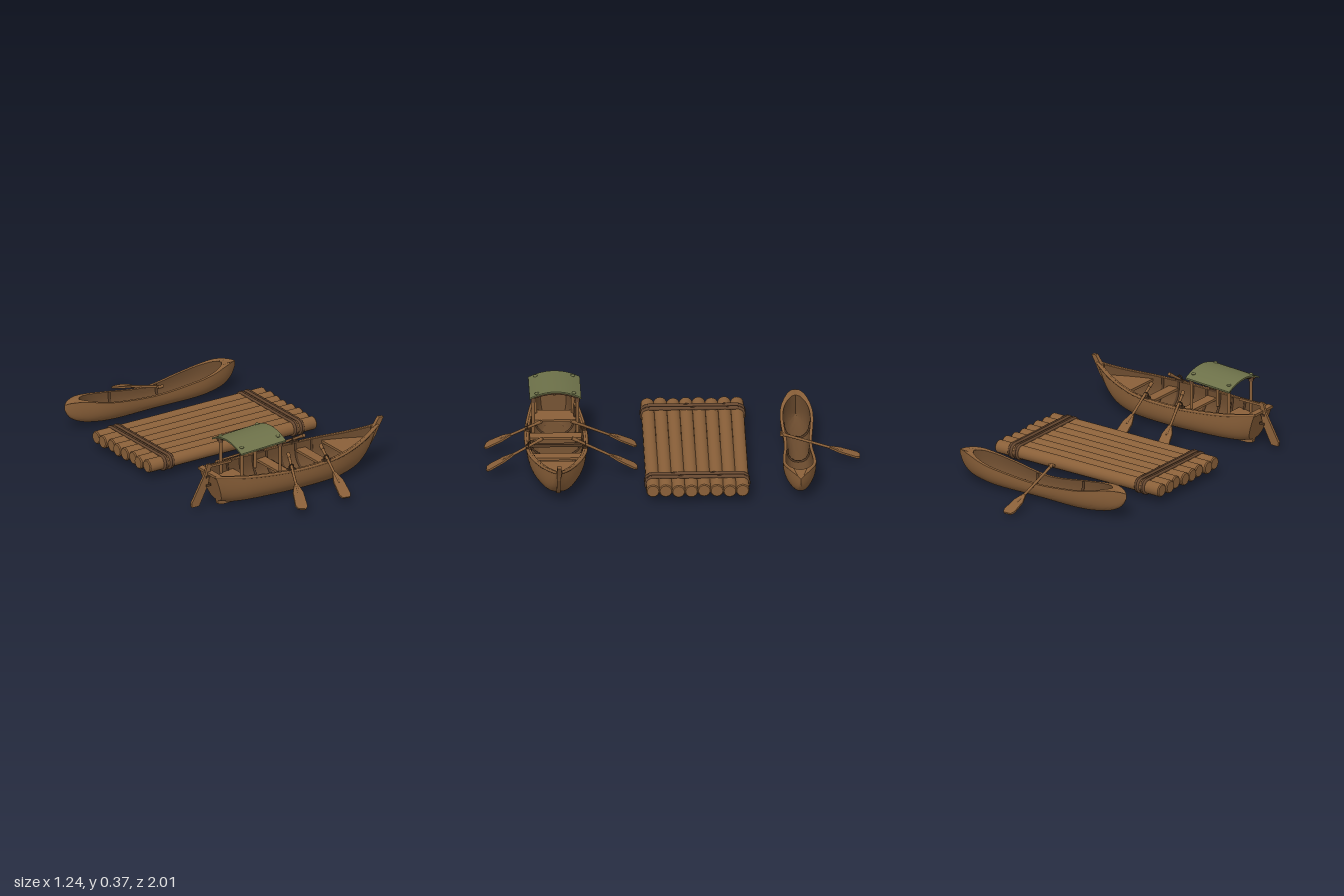
import * as THREE from 'three';
import { toCreasedNormals } from 'three/addons/utils/BufferGeometryUtils.js';

const mat = (name, color, side = THREE.FrontSide) => {
  const m = new THREE.MeshStandardMaterial({ color, side });
  m.name = name;
  return m;
};
const wood = mat('wood', 0x8a6039, THREE.DoubleSide);
const innerWood = mat('shadedWood', 0x6b4b2e, THREE.DoubleSide);
const darkWood = mat('darkWood', 0x563c26);
const rope = mat('rope', 0x674830);
const cloth = mat('canvas', 0x6d7149, THREE.DoubleSide);

const lerp = THREE.MathUtils.lerp;
const V = (x, y, z) => new THREE.Vector3(x, y, z);

function add(parent, name, geometry, material, x = 0, y = 0, z = 0) {
  const m = new THREE.Mesh(geometry, material);
  m.name = name;
  m.position.set(x, y, z);
  parent.add(m);
  return m;
}

// Smooth interpolation through a short table
function table(xs, ys) {
  const slope = (i) => {
    const a = Math.max(0, i - 1), b = Math.min(xs.length - 1, i + 1);
    return (ys[b] - ys[a]) / (xs[b] - xs[a]);
  };
  return (x) => {
    let i = 0;
    while (i < xs.length - 2 && x > xs[i + 1]) i++;
    const h = xs[i + 1] - xs[i];
    const t = THREE.MathUtils.clamp((x - xs[i]) / h, 0, 1), t2 = t * t, t3 = t2 * t;
    return (2 * t3 - 3 * t2 + 1) * ys[i] + (t3 - 2 * t2 + t) * h * slope(i)
      + (3 * t2 - 2 * t3) * ys[i + 1] + (t3 - t2) * h * slope(i + 1);
  };
}

// Surface from a rule over u, v in 0..1
function grid(fn, nu, nv) {
  const pos = [], idx = [];
  for (let i = 0; i <= nu; i++) for (let j = 0; j <= nv; j++) pos.push(...fn(i / nu, j / nv).toArray());
  for (let i = 0; i < nu; i++) for (let j = 0; j < nv; j++) {
    const a = i * (nv + 1) + j, b = a + nv + 1;
    idx.push(a, b, a + 1, b, b + 1, a + 1);
  }
  const g = new THREE.BufferGeometry();
  g.setAttribute('position', new THREE.Float32BufferAttribute(pos, 3));
  g.setIndex(idx);
  return toCreasedNormals(g, 0.7);
}

// Hollow hull: outer skin, inner skin and rim
function hull(parent, h) {
  const W = table(h.x, h.W), S = table(h.x, h.S), K = table(h.x, h.K);
  const x0 = h.x[0], x1 = h.x[h.x.length - 1];
  const point = (s, a, inner) => {
    const x = inner ? lerp(h.in[0], h.in[1], s) : lerp(x0, x1, s);
    const taper = h.roundEnds ? Math.sqrt(1 - Math.abs(2 * s - 1) ** 10) : 1;
    const w = Math.max(0, inner ? (W(x) - h.wall) * taper : W(x));
    const depth = Math.abs(Math.sin(a)) ** h.e, c = Math.cos(a);
    const low = inner ? Math.min(K(x) + h.wall, S(x)) : K(x);
    return V(x + h.rake * (1 - s) ** 6 * depth, lerp(S(x), low, depth), w * Math.sign(c) * Math.abs(c) ** h.e);
  };
  add(parent, 'hullOuter', grid((s, v) => point(s, v * Math.PI, false), 64, 28), wood);
  add(parent, 'hullInner', grid((s, v) => point(s, v * Math.PI, true), 64, 28), innerWood);
  for (const a of [0, Math.PI])
    add(parent, 'rim', grid((s, v) => point(s, a, false).lerp(point(s, a, true), v), 64, 1), wood);
  const cap = (inner) => grid((u, v) => {
    const p = point(0, u * Math.PI / 2, inner);
    return p.setZ(p.z * (2 * v - 1));
  }, 14, 2);
  if (h.rake) {
    add(parent, 'transom', cap(false), wood);
    add(parent, 'transomInner', cap(true), innerWood);
  }
  // Half width of the hull at a given place and height
  const halfAt = (x, y) => {
    const d = THREE.MathUtils.clamp((S(x) - y) / (S(x) - K(x)), 0, 1);
    return W(x) * Math.sqrt(1 - d ** (2 / h.e)) ** h.e;
  };
  const rib = (s, r) => {
    const pts = [];
    for (let i = 0; i <= 16; i++) pts.push(point(s, i / 16 * Math.PI, true));
    add(parent, 'rib', new THREE.TubeGeometry(new THREE.CatmullRomCurve3(pts), 32, r, 6), darkWood);
  };
  return { point, halfAt, rib, S };
}

function extrude(points, depth) {
  const g = new THREE.ExtrudeGeometry(new THREE.Shape(points.map((p) => new THREE.Vector2(...p))),
    { depth, bevelEnabled: false });
  return g.translate(0, 0, -depth / 2);
}

// Oar running from the grip to the blade tip
function oar(parent, name, from, to, grip = 0) {
  const g = new THREE.Group();
  g.name = name;
  const L = from.distanceTo(to);
  add(g, 'shaft', new THREE.CylinderGeometry(0.007, 0.008, L - 0.1, 10), wood, 0, (L - 0.1) / 2, 0);
  add(g, 'blade', extrude([[-0.009, L - 0.17], [0.009, L - 0.17], [0.03, L - 0.11], [0.034, L - 0.02], [0.022, L],
    [-0.022, L], [-0.034, L - 0.02], [-0.03, L - 0.11]], 0.01), wood);
  add(g, 'grip', new THREE.CylinderGeometry(0.01, 0.01, 0.03, 10), wood, 0, 0.01, 0);
  if (grip) add(g, 'crossGrip', new THREE.CylinderGeometry(0.009, 0.009, grip, 8).rotateZ(Math.PI / 2), wood);
  const y = to.clone().sub(from).normalize();
  const z = V(1, 0, 0).cross(y).normalize();
  g.quaternion.setFromRotationMatrix(new THREE.Matrix4().makeBasis(y.clone().cross(z), y, z));
  g.position.copy(from);
  parent.add(g);
}

function rowboat() {
  const b = new THREE.Group();
  b.name = 'rowboat';
  const h = hull(b, {
    x: [-0.515, -0.42, -0.3, -0.1, 0.05, 0.2, 0.3, 0.42, 0.5, 0.55, 0.58],
    W: [0.08, 0.106, 0.132, 0.158, 0.164, 0.153, 0.13, 0.085, 0.048, 0.022, 0.008],
    S: [0.205, 0.19, 0.177, 0.166, 0.165, 0.168, 0.175, 0.188, 0.203, 0.216, 0.226],
    K: [0.03, 0.014, 0.009, 0.008, 0.008, 0.008, 0.011, 0.035, 0.09, 0.16, 0.21],
    e: 0.68, rake: 0.06, wall: 0.018, in: [-0.49, 0.545],
  });
  // Gunwale rails
  for (const a of [0, Math.PI]) {
    const pts = [];
    for (let i = 0; i <= 24; i++) pts.push(h.point(i / 24, a, false).add(V(0, -0.005, 0)));
    add(b, 'gunwale', new THREE.TubeGeometry(new THREE.CatmullRomCurve3(pts), 60, 0.008, 8), wood);
  }
  // Cross boards shaped to the hull
  const board = (name, x0, x1, y, t, m = wood, inset = 0.012) => {
    const g = new THREE.BoxGeometry(x1 - x0, t, 2, 10, 1, 1).translate((x0 + x1) / 2, y, 0);
    const p = g.attributes.position;
    for (let i = 0; i < p.count; i++) p.setZ(i, p.getZ(i) * Math.max(0.002, h.halfAt(p.getX(i), y) - inset));
    add(b, name, toCreasedNormals(g, 0.5), m);
  };
  board('transomRail', -0.52, -0.485, 0.2, 0.014, wood, 0);
  board('sternSeat', -0.39, -0.27, 0.12, 0.014);
  board('middleSeat', -0.1, -0.04, 0.125, 0.014);
  board('footBrace', -0.025, -0.005, 0.1, 0.016, darkWood);
  board('forwardSeat', 0.15, 0.21, 0.125, 0.014);
  board('bowDeck', 0.3, 0.53, 0.15, 0.014);
  board('floor', -0.43, 0.32, 0.036, 0.008, innerWood, 0.02);
  for (let i = 1; i < 8; i++) h.rib(0.08 + i * 0.09, 0.007);
  // Keel and stem post
  add(b, 'keelAndStem', extrude([[-0.455, 0.03], [-0.45, 0.006], [-0.42, 0], [0.27, 0], [0.36, 0.008], [0.44, 0.035],
    [0.51, 0.09], [0.565, 0.165], [0.588, 0.21], [0.618, 0.262], [0.59, 0.265], [0.555, 0.215], [0.53, 0.16],
    [0.48, 0.09], [0.4, 0.04], [0.3, 0.016], [-0.4, 0.014]], 0.022), wood);
  // Rudder and tiller
  add(b, 'rudder', extrude([[-0.495, 0.248], [-0.518, 0.25], [-0.535, 0.195], [-0.62, 0.045], [-0.617, 0.022],
    [-0.572, 0.022], [-0.515, 0.13], [-0.5, 0.2]], 0.014), wood);
  add(b, 'tiller', new THREE.BoxGeometry(0.15, 0.013, 0.013), wood, -0.435, 0.234, 0);
  for (const y of [0.13, 0.18])
    add(b, 'rudderHinge', new THREE.BoxGeometry(0.03, 0.012, 0.024), darkWood, -0.513, y, 0);
  // Canopy on four posts with arched beams
  const arch = (x, v, lift) => V(x, 0.361 + (x + 0.39) * 0.045 - 0.036 * (2 * v - 1) ** 2 + lift, (2 * v - 1) * 0.138);
  const sheet = (lift) => grid((u, v) => arch(lerp(-0.39, -0.1, u), v, lift), 2, 24);
  add(b, 'canopyTop', sheet(0), cloth);
  add(b, 'canopyLining', sheet(-0.009), cloth);
  for (const x of [-0.39, -0.1])
    add(b, 'canopyEnd', grid((u, v) => arch(x, v, -0.009 * u), 1, 24), cloth);
  for (const v of [0, 1])
    add(b, 'canopyHem', grid((u, t) => arch(lerp(-0.39, -0.1, u), v, -0.009 * t), 1, 1), cloth);
  for (const [x, z] of [[-0.36, 0.1], [-0.125, 0.118]]) {
    const pts = [];
    for (let i = 0; i <= 12; i++) pts.push(arch(x, 0.04 + i / 12 * 0.92, -0.017));
    add(b, 'canopyBeam', new THREE.TubeGeometry(new THREE.CatmullRomCurve3(pts), 30, 0.009, 8), darkWood);
    for (const s of [-1, 1]) {
      add(b, 'canopyPost', new THREE.CylinderGeometry(0.009, 0.009, 0.24, 10), wood, x, 0.218, s * z);
      add(b, 'postLashing', new THREE.CylinderGeometry(0.013, 0.013, 0.025, 10), rope, x, 0.318, s * z);
      const knob = arch(x, 0.5 + s * 0.36, 0.001);
      add(b, 'canopyKnob', new THREE.SphereGeometry(0.012, 12, 8).scale(1, 0.6, 1), cloth, knob.x, knob.y, knob.z);
    }
  }
  // Oars with rowlocks
  for (const s of [1, -1]) {
    const grip = s > 0 ? 0.08 : -0.085, tip = s > 0 ? 0.374 : -0.43;
    oar(b, 'oar', V(-0.045, 0.225, grip), V(-0.155, 0.033, tip));
    oar(b, 'oar', V(0.165, 0.225, grip), V(0.13, 0.033, tip));
    for (const x of [-0.075, 0.15]) {
      add(b, 'rowlockBlock', new THREE.BoxGeometry(0.045, 0.014, 0.024), darkWood, x, h.S(x) + 0.003, s * 0.152);
      add(b, 'rowlock', new THREE.TorusGeometry(0.014, 0.004, 6, 16), darkWood, x, h.S(x) + 0.018, s * 0.152);
    }
  }
  b.position.z = 0.625;
  return b;
}

function raft() {
  const r = new THREE.Group();
  r.name = 'raft';
  // Logs with slightly uneven ends
  for (let i = 0; i < 8; i++) {
    const x0 = -0.568 - 0.007 * Math.sin(i * 2.3), x1 = 0.519 + 0.006 * Math.sin(i * 1.7);
    const profile = [[0, 0], [0.031, 0], [0.036, 0.006], [0.0355, 0.4], [0.0365, 0.7], [0.036, 1.08], [0.031, 1.086], [0, 1.086]]
      .map(([a, y]) => new THREE.Vector2(a, y * (x1 - x0) / 1.086));
    const g = toCreasedNormals(new THREE.LatheGeometry(profile, 16).rotateZ(-Math.PI / 2), 0.6);
    add(r, 'log', g, wood, x0, 0.073, (i - 3.5) * 0.0685);
  }
  // Rope lashings around all logs
  const loop = new THREE.CurvePath();
  const pts = [];
  for (const s of [1, -1]) {
    for (let i = 0; i <= 8; i++) {
      const a = s * Math.PI / 2 - i / 8 * Math.PI;
      pts.push(V(0, Math.sin(a) * 0.038, s * (0.24 + Math.abs(Math.cos(a)) * 0.036)));
    }
    for (let i = 1; i < 6; i++) pts.push(V(0, -s * 0.038, s * lerp(0.24, -0.24, i / 6)));
  }
  const path = new THREE.CatmullRomCurve3(pts, true, 'centripetal');
  for (const x of [-0.462, -0.424, 0.378, 0.416])
    for (const d of [-0.006, 0.006])
      add(r, 'lashing', new THREE.TubeGeometry(path, 90, 0.008, 8, true), rope, x + d, 0.073, 0);
  r.position.z = -0.119;
  return r;
}

function canoe() {
  const c = new THREE.Group();
  c.name = 'canoe';
  const h = hull(c, {
    x: [-0.56, -0.53, -0.46, -0.36, -0.25, 0, 0.25, 0.35, 0.45, 0.515, 0.545],
    W: [0, 0.022, 0.053, 0.082, 0.089, 0.075, 0.089, 0.085, 0.06, 0.024, 0],
    S: [0.15, 0.161, 0.163, 0.145, 0.127, 0.102, 0.127, 0.143, 0.162, 0.16, 0.15],
    K: [0.125, 0.075, 0.036, 0.017, 0.01, 0.01, 0.01, 0.017, 0.036, 0.075, 0.125],
    e: 0.82, rake: 0, wall: 0.016, in: [-0.465, 0.455], roundEnds: true,
  });
  for (const s of [0.265, 0.585]) h.rib(s, 0.008);
  oar(c, 'paddle', V(0, 0.157, 0.088), V(-0.01, 0.016, -0.33), 0.036);
  c.position.z = -0.67;
  return c;
}

export function createModel() {
  const g = new THREE.Group();
  g.name = 'boats';
  g.add(rowboat(), raft(), canoe());
  return g;
}
